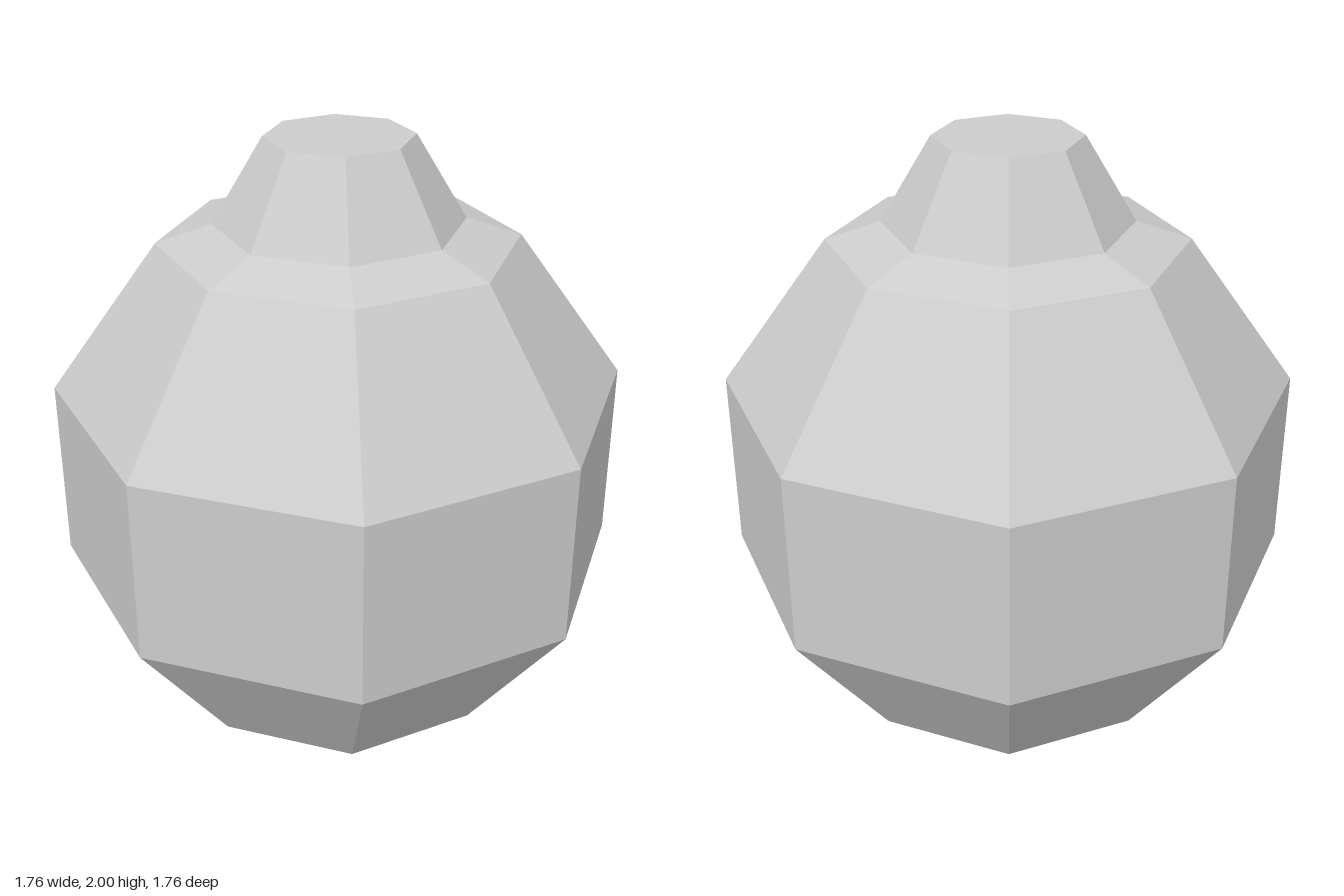
import * as THREE from 'three';

const SIDES = 8;
const grey = new THREE.MeshStandardMaterial({ color: 0xcccccc });
grey.name = 'plain grey';

// Faceted eight-sided turning; each profile point is [distance to flat side, height], bottom to top
function facetedTurning(name, profile) {
  const toCorner = 1 / Math.cos(Math.PI / SIDES);
  const points = profile.map(([r, y]) => new THREE.Vector2(r * toCorner, y));
  const lathe = new THREE.LatheGeometry(points, SIDES, Math.PI / SIDES);
  const geometry = lathe.toNonIndexed();
  geometry.computeVertexNormals(); // one flat normal per facet
  const mesh = new THREE.Mesh(geometry, grey);
  mesh.name = name;
  return mesh;
}

export function createModel() {
  const model = new THREE.Group();
  model.name = 'facetedJar';

  // Shallow pointed base, bulging sides and sloping shoulder
  model.add(facetedTurning('body', [
    [0, 0], [0.545, 0.04], [0.88, 0.54], [0.88, 1.16], [0.545, 1.66], [0.378, 1.72],
  ]));

  // Tapered neck with a flat top
  model.add(facetedTurning('neck', [[0.378, 1.72], [0.223, 2], [0, 2]]));

  return model;
}
